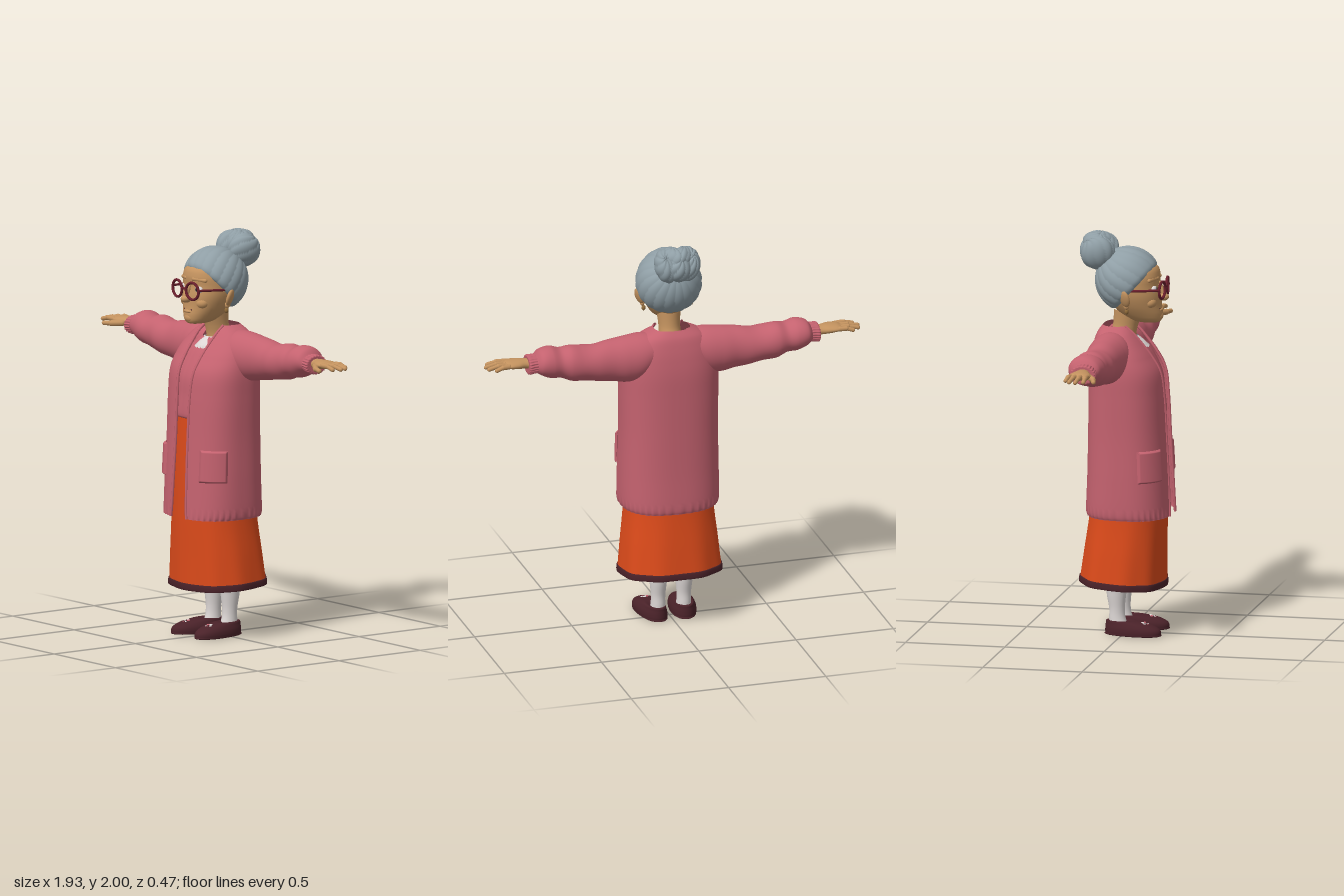
import * as THREE from 'three';
import { ParametricGeometry } from 'three/addons/geometries/ParametricGeometry.js';

const mat = (name, color, side = THREE.FrontSide) => {
  const m = new THREE.MeshStandardMaterial({ color, side });
  m.name = name;
  return m;
};
const M = {
  hair: mat('grey hair', 0x8f9ea5),
  skin: mat('warm skin', 0xc4935f),
  knit: mat('rose knit', 0xc4626f, THREE.DoubleSide),
  skirt: mat('orange cloth', 0xdb4a1a, THREE.DoubleSide),
  maroon: mat('dark maroon', 0x4a2229, THREE.DoubleSide),
  frame: mat('red frame', 0x6a1f2c),
  white: mat('off white', 0xdcd6d4, THREE.DoubleSide),
  pupil: mat('dark eye', 0x2a1a16),
  gold: mat('old gold', 0x8f6a3a),
};

function add(parent, name, geo, material, pos = [0, 0, 0], scale = [1, 1, 1], rot = [0, 0, 0]) {
  const m = new THREE.Mesh(geo, material);
  m.name = name;
  m.position.set(...pos);
  m.scale.set(...scale);
  m.rotation.set(...rot);
  parent.add(m);
  return m;
}

// Catmull-Rom blend of a short table of cross-sections
function sample(rows, v) {
  const n = rows.length - 1;
  const p = Math.min(Math.max(v, 0), 1) * n;
  const i = Math.min(Math.floor(p), n - 1), f = p - i;
  const a = rows[Math.max(i - 1, 0)], b = rows[i], c = rows[i + 1], d = rows[Math.min(i + 2, n)];
  return b.map((_, k) => b[k] + 0.5 * f * (c[k] - a[k] +
    f * (2 * a[k] - 5 * b[k] + 4 * c[k] - d[k] + f * (3 * (b[k] - c[k]) + d[k] - a[k]))));
}

const sgnPow = (x, p) => Math.sign(x) * Math.abs(x) ** p;

// Upright loft; rows are [y, half width, front z, back z, front gap]
function loft(rows, { p = 1, segs = 40, stacks = 30, ripple = () => 0, lift = () => 0, range, grow = () => 0 } = {}) {
  return new ParametricGeometry((u, v, out) => {
    const [y, rx, zf, zb, gap = 0] = sample(rows, v);
    const t0 = gap > 0 ? Math.asin(Math.min(1, (gap / rx) ** (1 / p))) : 0;
    const t = range ? range[0] + u * (range[1] - range[0]) : t0 + u * (2 * Math.PI - 2 * t0);
    const k = 1 + ripple(t, y), g = grow(u, v);
    out.set((rx * k + g) * sgnPow(Math.sin(t), p), y + lift(t, y),
      (zf + zb) / 2 + ((zf - zb) / 2 * k + g) * sgnPow(Math.cos(t), p));
  }, segs, stacks);
}

// Sideways loft; rows are [x, bottom, top, back z, front z]
function sleeve(rows, segs, stacks, ripple) {
  return new ParametricGeometry((u, v, out) => {
    const [x, lo, hi, zb, zf] = sample(rows, v);
    const t = u * 2 * Math.PI, k = 1 + ripple(t, x);
    out.set(x, (lo + hi) / 2 + (hi - lo) / 2 * k * Math.cos(t), (zb + zf) / 2 + (zf - zb) / 2 * k * Math.sin(t));
  }, segs, stacks);
}

// Round-ended rod between two points
function rod(parent, name, material, a, b, r) {
  const A = new THREE.Vector3(...a), B = new THREE.Vector3(...b), d = B.clone().sub(A);
  const m = add(parent, name, new THREE.CapsuleGeometry(r, d.length(), 5, 10), material);
  m.position.copy(A).add(B).multiplyScalar(0.5);
  m.quaternion.setFromUnitVectors(new THREE.Vector3(0, 1, 0), d.normalize());
  return m;
}

// Sphere with combed grooves; radius factor f(azimuth, polar angle)
function combed(r, polar, f, w = 96, h = 32) {
  return new ParametricGeometry((u, v, out) => {
    const a = u * 2 * Math.PI, q = Math.PI - 0.01 - (1 - polar / Math.PI) * Math.PI * (1 - v) - v * (Math.PI - 0.02);
    const k = r * f(a, q);
    out.set(k * Math.sin(q) * Math.sin(a), k * Math.cos(q), k * Math.sin(q) * Math.cos(a));
  }, w, h);
}

const ball = new THREE.SphereGeometry(1, 24, 16);

function buildHead(root) {
  const head = new THREE.Group();
  head.name = 'head';
  root.add(head);
  add(head, 'neck', loft([[1.42, 0.09, 0.06, -0.1], [1.48, 0.06, 0.05, -0.09], [1.54, 0.053, 0.06, -0.065], [1.62, 0.06, 0.09, -0.06]]), M.skin);
  add(head, 'face', loft([[1.558, 0.002, 0.13, 0.12], [1.562, 0.035, 0.165, 0.06], [1.575, 0.06, 0.18, 0.02], [1.605, 0.083, 0.184, -0.03],
    [1.65, 0.108, 0.178, -0.065], [1.7, 0.125, 0.176, -0.09], [1.75, 0.13, 0.168, -0.1], [1.8, 0.126, 0.17, -0.1],
    [1.84, 0.11, 0.152, -0.09], [1.87, 0.07, 0.09, -0.06], [1.875, 0.002, 0.01, 0]], { p: 0.9 }), M.skin);
  add(head, 'nose', ball, M.skin, [0, 1.688, 0.186], [0.024, 0.02, 0.03]);
  rod(head, 'noseBridge', M.skin, [0, 1.755, 0.165], [0, 1.695, 0.195], 0.013);
  rod(head, 'mouth', M.maroon, [-0.03, 1.634, 0.174], [0.03, 1.634, 0.174], 0.004);
  add(head, 'lowerLip', ball, M.skin, [0, 1.624, 0.175], [0.03, 0.009, 0.012]);
  add(head, 'chin', ball, M.skin, [0, 1.592, 0.165], [0.035, 0.024, 0.022]);

  // Combed cap of hair, leaning back towards the bun
  const edge = 1.98;
  add(head, 'hair', combed(0.16, edge, (a, q) => {
    const s = Math.min(1, (edge - q) / 0.22);
    return (0.87 + 0.13 * Math.sqrt(Math.max(0, s * (2 - s)))) *
      (1.01 + 0.02 * Math.abs(Math.sin(9 * a + Math.sin(q * 2))) * Math.sin(q) + 0.012 * Math.cos(3 * a));
  }, 144, 40), M.hair, [0, 1.768, 0.01], [1, 1, 1], [-0.83, 0, 0]);

  // Twisted coils of the bun
  const coil = combed(1, Math.PI - 0.01, (a, q) => 0.95 + 0.05 * Math.abs(Math.sin(4 * a + 2.5 * q)), 64, 24);
  for (const s of [-1, 1]) {
    add(head, 'bunCoil', coil, M.hair, [s * 0.052, 1.905, -0.13], [0.062, 0.085, 0.088], [-0.7, 0, s * -0.25]);
    add(head, 'bunTopCoil', coil, M.hair, [s * 0.03, 1.945, -0.14], [0.05, 0.055, 0.085], [0.2, s * 0.5, 0]);
  }
  add(head, 'bunCore', coil, M.hair, [0, 1.91, -0.15], [0.075, 0.08, 0.085], [-0.8, 0, 0]);

  for (const s of [-1, 1]) {
    add(head, 'cheek', ball, M.skin, [s * 0.058, 1.668, 0.132], [0.038, 0.03, 0.034]);
    add(head, 'ear', ball, M.skin, [s * 0.145, 1.698, 0.025], [0.014, 0.045, 0.03], [0, s * 0.5, s * -0.3]);
    add(head, 'earLobe', ball, M.skin, [s * 0.129, 1.658, 0.03], [0.011, 0.017, 0.014]);
    add(head, 'earring', ball, M.gold, [s * 0.122, 1.63, 0.03], [0.01, 0.014, 0.01]);
    add(head, 'eye', ball, M.white, [s * 0.058, 1.737, 0.152], [0.027, 0.017, 0.016]);
    add(head, 'pupil', ball, M.pupil, [s * 0.056, 1.737, 0.166], [0.008, 0.009, 0.004]);
    rod(head, 'brow', M.skin, [s * 0.03, 1.787, 0.163], [s * 0.09, 1.783, 0.136], 0.01);
    // Spectacles
    add(head, 'glassesRim', new THREE.TorusGeometry(0.044, 0.007, 10, 36), M.frame, [s * 0.061, 1.733, 0.195], [1, 0.95, 1], [0, s * 0.12, 0]);
    rod(head, 'glassesArm', M.frame, [s * 0.107, 1.74, 0.188], [s * 0.143, 1.735, 0.03], 0.006);
  }
  rod(head, 'glassesBridge', M.frame, [-0.017, 1.74, 0.2], [0.017, 1.74, 0.2], 0.006);
}

const CARDIGAN = [[0.6, 0.24, 0.236, -0.182, 0.06], [0.64, 0.248, 0.234, -0.188, 0.056], [0.8, 0.247, 0.226, -0.182, 0.05],
  [1.0, 0.243, 0.215, -0.178, 0.046], [1.2, 0.245, 0.204, -0.175, 0.048], [1.32, 0.245, 0.188, -0.172, 0.055],
  [1.4, 0.232, 0.145, -0.163, 0.06], [1.46, 0.205, 0.1, -0.151, 0.065], [1.51, 0.16, 0.058, -0.135, 0.068], [1.545, 0.09, 0.025, -0.11, 0.066]];

function buildClothes(root) {
  const p = 0.8;
  add(root, 'cardigan', loft(CARDIGAN, {
    p, segs: 120, stacks: 60, ripple: (t, y) => 0.012 * Math.cos(40 * t) * Math.max(0, 1 - (y - 0.6) / 0.06),
  }), M.knit);
  add(root, 'blouse', loft([[1.09, 0.19, 0.17, -0.13], [1.1, 0.205, 0.194, -0.14], [1.2, 0.205, 0.186, -0.14], [1.3, 0.2, 0.174, -0.14],
    [1.4, 0.17, 0.128, -0.13], [1.46, 0.11, 0.086, -0.11], [1.485, 0.065, 0.062, -0.09]],
    { p, segs: 100, ripple: (t) => 0.004 * Math.cos(36 * t) }), M.knit);
  add(root, 'laceCollar', loft([[1.436, 0.084, 0.117, -0.1], [1.46, 0.077, 0.095, -0.1], [1.488, 0.059, 0.06, -0.09]],
    { segs: 72, stacks: 6, lift: (t, y) => (y < 1.45 ? 0.004 * Math.cos(24 * t) : 0) }), M.white);

  // Skirt flares and folds towards a hem that rises at the back
  const fold = (t, y) => 0.014 * Math.cos(9 * t) * Math.max(0, 1 - (y - 0.24) / 0.4);
  const lift = (t, y) => 0.014 * (1 - Math.cos(t)) * Math.max(0, 1 - (y - 0.24) / 0.5);
  add(root, 'skirt', loft([[0.245, 0.254, 0.198, -0.218], [0.4, 0.24, 0.199, -0.198], [0.6, 0.22, 0.2, -0.172], [0.85, 0.21, 0.196, -0.15], [1.1, 0.195, 0.186, -0.14]],
    { p: 0.85, segs: 90, ripple: fold, lift }), M.skirt);
  add(root, 'skirtHem', loft([[0.24, 0.25, 0.193, -0.213], [0.238, 0.258, 0.202, -0.222], [0.268, 0.257, 0.202, -0.22], [0.27, 0.25, 0.194, -0.212]],
    { p: 0.85, segs: 90, stacks: 9, ripple: fold, lift }), M.maroon);
}

// One side's arm, pocket, leg and shoe, modelled on +x
function buildSide(side) {
  // Front edge band following the cardigan opening
  const edge = CARDIGAN.map(([, ], i) => {
    const [y, rx, zf, zb, gap] = CARDIGAN[i];
    const c = Math.sqrt(1 - (gap / rx) ** 2.5);
    return new THREE.Vector3(gap + 0.003, y, (zf + zb) / 2 + (zf - zb) / 2 * c ** 0.8);
  });
  add(side, 'cardiganEdge', new THREE.TubeGeometry(new THREE.CatmullRomCurve3(edge), 50, 0.007, 8), M.knit);
  const border = (u, v) => 0.002 + 0.012 * Math.max(0, Math.min(1, 12 * Math.min(u, 1 - u, v, 1 - v)));
  add(side, 'pocket', loft([[0.79, 0.247, 0.2265, -0.182], [0.87, 0.2455, 0.222, -0.18], [0.95, 0.244, 0.2175, -0.179]],
    { p: 0.8, segs: 30, stacks: 30, range: [0.47, 1.22], grow: border }), M.knit);

  add(side, 'sleeve', sleeve([[0.08, 1.38, 1.52, -0.13, 0.03], [0.16, 1.3, 1.528, -0.15, 0.06], [0.24, 1.288, 1.522, -0.15, 0.052],
    [0.32, 1.302, 1.512, -0.143, 0.04], [0.4, 1.312, 1.5, -0.143, 0.036], [0.47, 1.325, 1.5, -0.148, 0.04], [0.53, 1.332, 1.51, -0.146, 0.032],
    [0.58, 1.35, 1.502, -0.138, 0.03], [0.63, 1.358, 1.515, -0.146, 0.032], [0.68, 1.378, 1.508, -0.138, 0.022], [0.705, 1.392, 1.482, -0.115, 0.006]],
    40, 60, (t, x) => 0.022 * Math.sin(42 * x + 2 * Math.sin(t)) * Math.min(1, Math.max(0, (x - 0.25) * 5))), M.knit);
  add(side, 'cuff', sleeve([[0.695, 1.392, 1.482, -0.115, 0.006], [0.72, 1.39, 1.482, -0.114, 0.006], [0.745, 1.388, 1.48, -0.116, 0.008],
    [0.747, 1.41, 1.465, -0.09, -0.015], [0.746, 1.436, 1.438, -0.052, -0.05]], 96, 16, (t) => 0.035 * Math.cos(22 * t)), M.knit);

  const hand = new THREE.Group();
  hand.name = 'hand';
  side.add(hand);
  add(hand, 'palm', sleeve([[0.72, 1.412, 1.464, -0.088, -0.018], [0.76, 1.418, 1.466, -0.088, -0.016], [0.8, 1.422, 1.468, -0.1, 0.0],
    [0.845, 1.43, 1.465, -0.104, 0.002], [0.87, 1.438, 1.455, -0.09, -0.01], [0.872, 1.446, 1.448, -0.05, -0.048]], 24, 20, () => 0), M.skin);
  const tips = [[0.915, -0.102], [0.948, -0.077], [0.955, -0.045], [0.938, -0.008]];
  tips.forEach(([x, z], i) => {
    const knuckle = [0.85, 1.449, -0.092 + i * 0.027];
    const mid = [(x + 0.85) / 2, 1.45, (z + knuckle[2]) / 2];
    rod(hand, 'finger', M.skin, knuckle, mid, 0.0125);
    rod(hand, 'fingertip', M.skin, mid, [x, 1.44, z], 0.0105);
  });
  rod(hand, 'thumbBase', M.skin, [0.785, 1.438, -0.015], [0.835, 1.433, 0.018], 0.015);
  rod(hand, 'thumb', M.skin, [0.835, 1.433, 0.018], [0.878, 1.43, 0.03], 0.0115);

  const leg = add(side, 'stocking', loft([[0.03, 0.042, 0.03, -0.07], [0.08, 0.036, 0.012, -0.07], [0.13, 0.036, 0.008, -0.07],
    [0.2, 0.043, 0.015, -0.082], [0.28, 0.05, 0.025, -0.09], [0.5, 0.06, 0.04, -0.09]], { segs: 24 }), M.white);
  leg.position.x = 0.066;

  const shoe = new THREE.Group();
  shoe.name = 'shoe';
  shoe.position.x = 0.076;
  shoe.rotation.y = 0.13;
  side.add(shoe);
  add(shoe, 'shoeBody', loft([[0, 0.002, 0.06, 0.05], [0, 0.058, 0.185, -0.08], [0.012, 0.066, 0.198, -0.088], [0.035, 0.064, 0.19, -0.088],
    [0.055, 0.055, 0.15, -0.086], [0.068, 0.046, 0.085, -0.084], [0.07, 0.036, 0.045, -0.072], [0.06, 0.01, 0, -0.03]],
    { p: 0.9, segs: 36 }), M.maroon);
  // Little flower on the shoe
  for (let i = 0; i < 5; i++) {
    const a = i * 2 * Math.PI / 5;
    add(shoe, 'petal', ball, i % 2 ? M.knit : M.white, [0.013 * Math.cos(a), 0.06 - 0.005 * Math.sin(a), 0.118 + 0.013 * Math.sin(a)], [0.008, 0.005, 0.008]);
  }
}

export function createModel() {
  const root = new THREE.Group();
  root.name = 'elderlyLady';
  buildHead(root);
  buildClothes(root);
  for (const s of [1, -1]) {
    const side = new THREE.Group();
    side.name = s > 0 ? 'leftSide' : 'rightSide';
    buildSide(side);
    side.scale.x = s;
    root.add(side);
  }
  return root;
}
